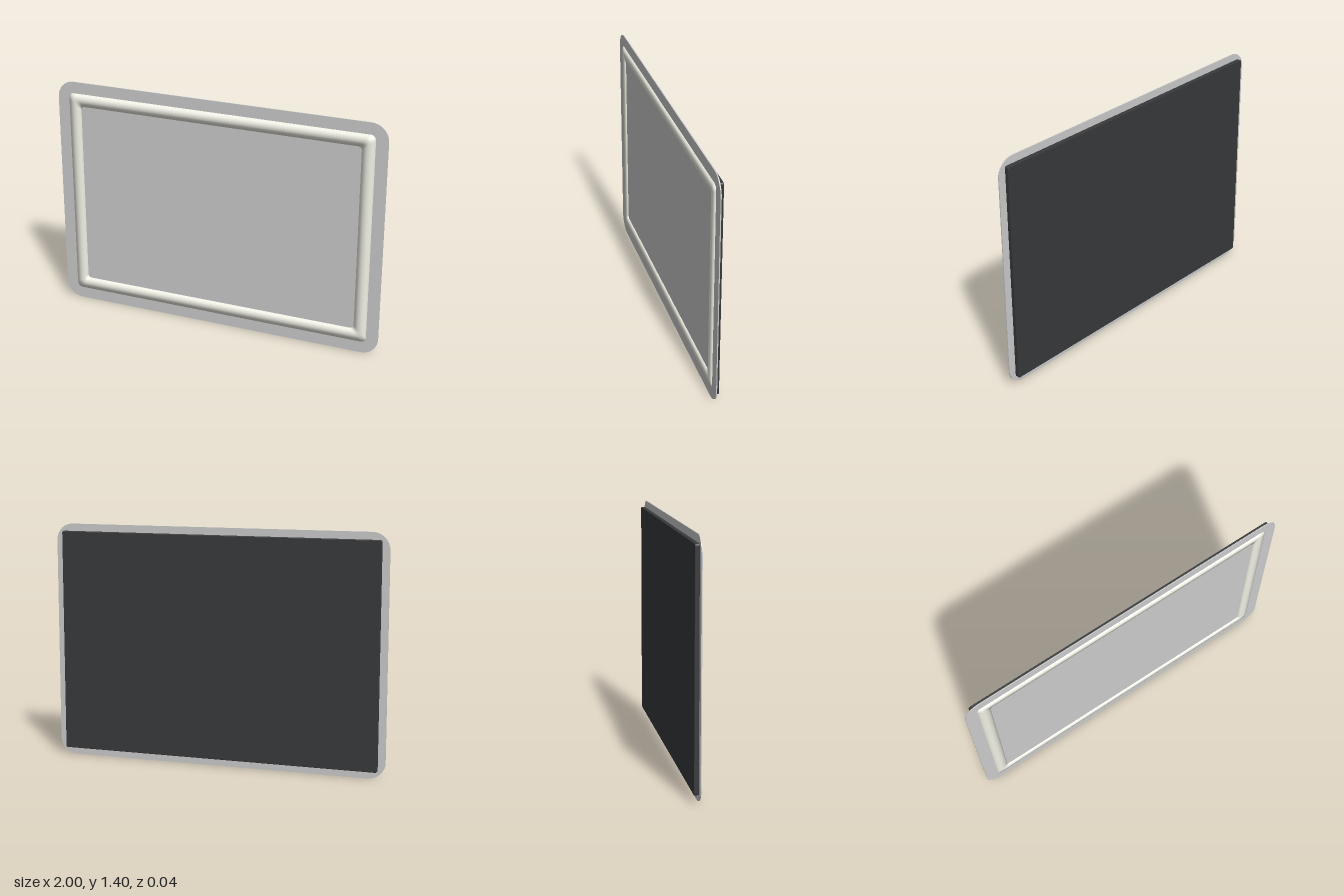
import * as THREE from 'three';

const CY = 0.7; // height of the panel centre

// Rounded rectangle outline centred on the origin: points with outward directions
function outline(hw, hh, r, steps) {
  const pts = [];
  [[1, 1], [-1, 1], [-1, -1], [1, -1]].forEach(([sx, sy], q) => {
    for (let i = 0; i <= steps; i++) {
      const a = (q + i / steps) * Math.PI / 2;
      const dx = Math.cos(a), dy = Math.sin(a);
      pts.push({ x: sx * (hw - r) + r * dx, y: sy * (hh - r) + r * dy, dx, dy });
    }
  });
  return pts;
}

function slab(name, hw, hh, r, z0, z1, bevel, color) {
  const shape = new THREE.Shape(outline(hw - bevel, hh - bevel, r, 8).map(p => new THREE.Vector2(p.x, p.y)));
  const geo = new THREE.ExtrudeGeometry(shape, {
    depth: z1 - z0 - 2 * bevel, bevelEnabled: bevel > 0,
    bevelSize: bevel, bevelThickness: bevel, bevelSegments: 2,
  });
  geo.translate(0, CY, z0 + bevel);
  const mesh = new THREE.Mesh(geo, new THREE.MeshStandardMaterial({ color }));
  mesh.name = name;
  return mesh;
}

// Shallow raised bead swept round the panel, with full half-round shading
function beadFrame() {
  const outer = outline(0.93, 0.632, 0.03, 5);
  const inner = outline(0.852, 0.554, 0.02, 5);
  const n = outer.length, rows = 12, zBase = 0.012, rise = 0.007;
  const pos = [], nor = [], idx = [];
  for (let k = 0; k <= rows; k++) {
    const a = k / rows * Math.PI, c = Math.cos(a), s = Math.sin(a);
    const t = (1 - c) / 2;
    outer.forEach((o, i) => {
      const p = inner[i];
      pos.push(o.x + (p.x - o.x) * t, CY + o.y + (p.y - o.y) * t, zBase + rise * s);
      nor.push(o.dx * c, o.dy * c, s);
    });
  }
  for (let k = 0; k < rows; k++) {
    for (let i = 0; i < n; i++) {
      const j = (i + 1) % n, a = k * n + i, b = k * n + j;
      idx.push(a, b, b + n, a, b + n, a + n);
    }
  }
  const geo = new THREE.BufferGeometry();
  geo.setAttribute('position', new THREE.Float32BufferAttribute(pos, 3));
  geo.setAttribute('normal', new THREE.Float32BufferAttribute(nor, 3));
  geo.setIndex(idx);
  const mesh = new THREE.Mesh(geo, new THREE.MeshStandardMaterial({ color: 0xf2f1e6, side: THREE.DoubleSide }));
  mesh.name = 'beadFrame';
  return mesh;
}

export function createModel() {
  const model = new THREE.Group();
  model.name = 'framedPanel';
  // Thin front sheet with rounded corners
  model.add(slab('frontSheet', 1, 0.7, 0.1, 0.007, 0.013, 0, 0xcccccc));
  // Dark backing block
  model.add(slab('backBlock', 0.957, 0.657, 0.008, -0.019, 0.007, 0.003, 0x38393b));
  // Raised border on the front
  model.add(beadFrame());
  return model;
}
